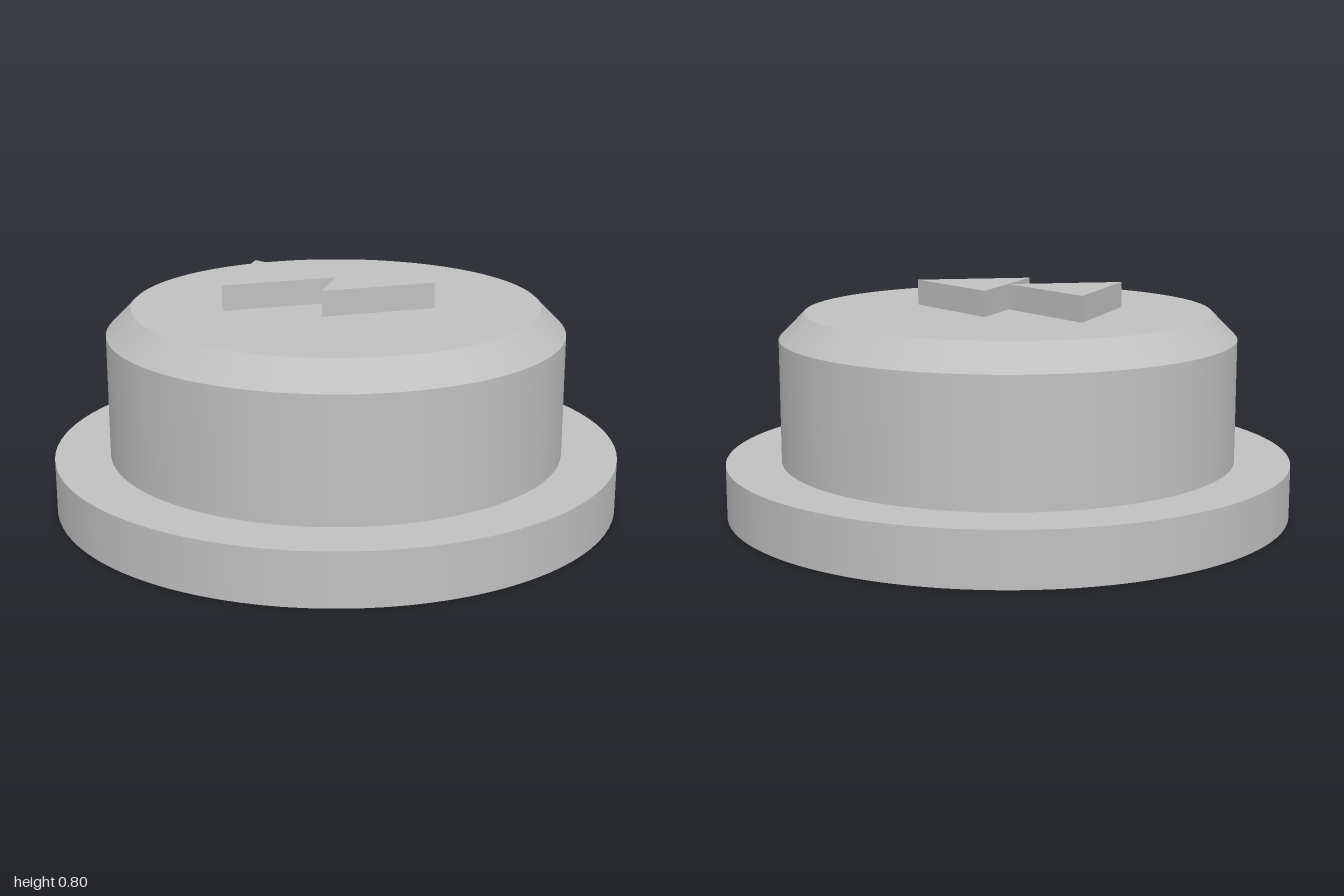
import * as THREE from 'three';

const SEGMENTS = 96;

export function createModel() {
  const model = new THREE.Group();
  model.name = 'pushButton';

  const grey = new THREE.MeshStandardMaterial({ color: 0xc0c0c0 });
  grey.name = 'plain grey';

  const add = (name, geometry, y = 0) => {
    const mesh = new THREE.Mesh(geometry, grey);
    mesh.name = name;
    mesh.position.y = y;
    model.add(mesh);
    return mesh;
  };

  // A round section between two heights
  const round = (name, topRadius, bottomRadius, y0, y1, open) =>
    add(name, new THREE.CylinderGeometry(topRadius, bottomRadius, y1 - y0, SEGMENTS, 1, open), (y0 + y1) / 2);

  // Wide flange at the bottom
  round('baseFlange', 1, 1, 0, 0.187, false);

  // Button body, with its chamfered rim and flat top
  round('buttonBody', 0.805, 0.805, 0.187, 0.62, true);
  round('chamferedRim', 0.716, 0.805, 0.62, 0.71, true);
  const face = new THREE.CircleGeometry(0.716, SEGMENTS).rotateX(-Math.PI / 2);
  add('buttonFace', face, 0.71);

  // Two raised triangles pointing to +x
  const triangle = new THREE.Shape([
    new THREE.Vector2(0, -0.21),
    new THREE.Vector2(0.35, 0),
    new THREE.Vector2(0, 0.21),
  ]);
  const arrow = new THREE.ExtrudeGeometry(triangle, { depth: 0.09, bevelEnabled: false });
  arrow.rotateX(-Math.PI / 2);
  [['rearArrow', -0.352], ['leadArrow', 0]].forEach(([name, x]) => {
    add(name, arrow, 0.71).position.x = x;
  });

  return model;
}
